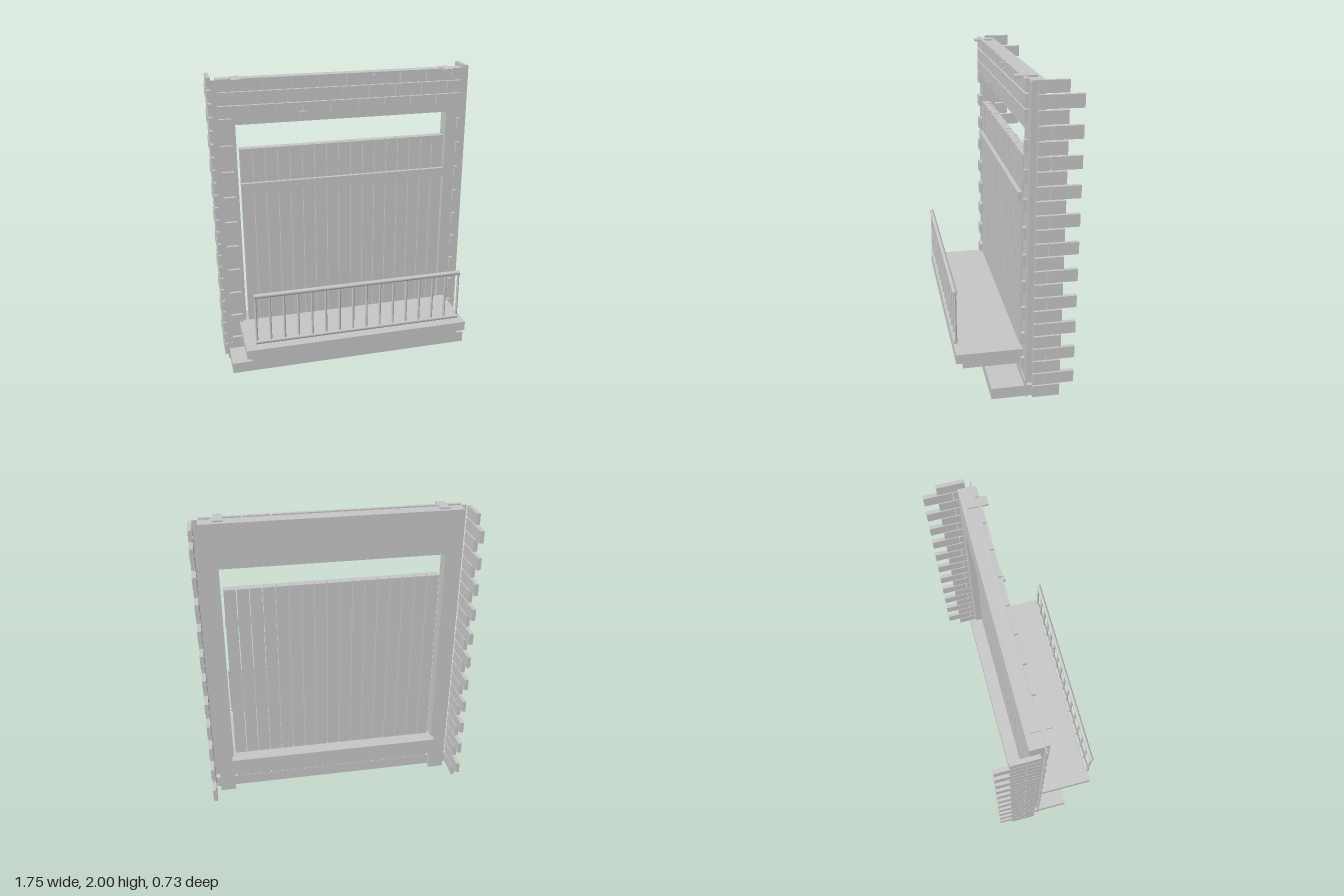
import * as THREE from 'three';

export function createModel() {
  const model = new THREE.Group();
  const stone = new THREE.MeshStandardMaterial({ color: 0xc6c6c6 });
  stone.name = 'grey stone';

  // Box given by its minimum and maximum on each axis
  const box = (parent, name, x0, x1, y0, y1, z0, z1) => {
    const m = new THREE.Mesh(new THREE.BoxGeometry(x1 - x0, y1 - y0, z1 - z0), stone);
    m.name = name;
    m.position.set((x0 + x1) / 2, (y0 + y1) / 2, (z0 + z1) / 2);
    parent.add(m);
  };
  const rod = (parent, name, r, length, x, y, z, alongX) => {
    const m = new THREE.Mesh(new THREE.CylinderGeometry(r, r, length, 12), stone);
    m.name = name;
    m.position.set(x, y, z);
    if (alongX) m.rotation.z = Math.PI / 2;
    parent.add(m);
  };
  const group = (name) => {
    const g = new THREE.Group();
    g.name = name;
    model.add(g);
    return g;
  };
  // Arch-shaped wall panel with a rectangular doorway
  const portal = (name, half, z0, z1) => {
    const s = new THREE.Shape();
    [[-half, 0], [-0.715, 0], [-0.715, 1.7], [0.715, 1.7], [0.715, 0], [half, 0], [half, 1.99], [-half, 1.99]]
      .forEach(([x, y], i) => (i ? s.lineTo(x, y) : s.moveTo(x, y)));
    const m = new THREE.Mesh(new THREE.ExtrudeGeometry(s, { depth: z1 - z0, bevelEnabled: false }), stone);
    m.position.z = z0;
    m.name = name;
    model.add(m);
  };
  portal('wallFrame', 0.82, -0.152, -0.066);
  portal('wallFacing', 0.857, -0.066, -0.06);

  // Plinth and threshold
  box(model, 'plinth', -0.847, 0.847, 0.005, 0.08, -0.11, 0.153);
  box(model, 'threshold', -0.857, 0.857, 0.08, 0.125, -0.064, -0.054);

  // Balcony floor, running through the doorway to the back
  box(model, 'balconyCore', -0.727, 0.727, 0.17, 0.285, -0.2, 0.313);
  box(model, 'balconySlab', -0.765, 0.765, 0.23, 0.293, -0.06, 0.36);

  // Plank shutter with cross rail
  const shutter = group('shutter');
  const pitch = 1.4 / 17;
  for (let i = 0; i < 17; i++) {
    const x = -0.7 + i * pitch;
    box(shutter, 'plank', x + 0.003, x + pitch - 0.003, 0.08, 1.54, -0.108, -0.053);
  }
  box(shutter, 'crossRail', -0.7, 0.7, 1.255, 1.312, -0.056, -0.028);

  // Balustrade
  const balustrade = group('balustrade');
  for (const y of [0.35, 0.684]) rod(balustrade, 'handrail', 0.015, 1.405, 0, y, 0.352, true);
  for (let i = 0; i < 16; i++) rod(balustrade, 'baluster', 0.008, 0.33, -0.695 + i * 1.39 / 15, 0.517, 0.352, false);

  // Brick courses on the two sides and along the piers
  const sideBricks = group('sideBricks');
  const pierBricks = group('pierBricks');
  const course = 0.0873;
  for (let i = 0; i < 23; i++) {
    const y = 0.0475 + i * course;
    const y0 = y - 0.039, y1 = Math.min(y + 0.039, 2);
    const long = i % 2 === 1;
    const spans = long ? [[-0.175, -0.1], [-0.36, -0.18]] : [[-0.272, -0.1]];
    for (const s of [-1, 1]) {
      const a = s > 0 ? 0.85 : -0.875;
      for (const [z0, z1] of spans) box(sideBricks, 'sideBrick', a, a + 0.025, y0, y1, z0, z1);
    }
    if (y < 1.72) {
      if (long) box(pierBricks, 'leftPierBrick', -0.82, -0.74, y0, y1, -0.062, -0.037);
      else if (i > 0) box(pierBricks, 'rightPierBrick', 0.79, 0.815, y0, y1, -0.062, -0.037);
    }
  }

  // Three running-bond courses over the opening
  const lintel = group('lintelBricks');
  [[1.752, 1.828, -0.64], [1.838, 1.915, -0.745], [1.927, 1.998, -0.715]].forEach(([y0, y1, first]) => {
    let x0 = -0.82;
    for (let x = first; x0 < 0.805; x += 0.181) {
      const x1 = Math.min(x, 0.815);
      box(lintel, 'lintelBrick', x0, x1 - 0.004, y0, y1, -0.062, -0.037);
      x0 = x1 + 0.004;
    }
  });

  // Small fixings on the masonry
  const fixings = group('fixings');
  box(fixings, 'wallPeg', -0.305, -0.26, 1.728, 1.77, -0.06, -0.022);
  box(fixings, 'hookPlate', 0.178, 0.205, 1.95, 1.98, -0.06, -0.022);
  box(fixings, 'hookArm', 0.195, 0.255, 1.935, 1.955, -0.06, -0.028);
  for (const s of [-1, 1]) box(fixings, 'topBracket', s * 0.7 - 0.03, s * 0.7 + 0.03, 1.985, 2, -0.125, 0.003);

  return model;
}
